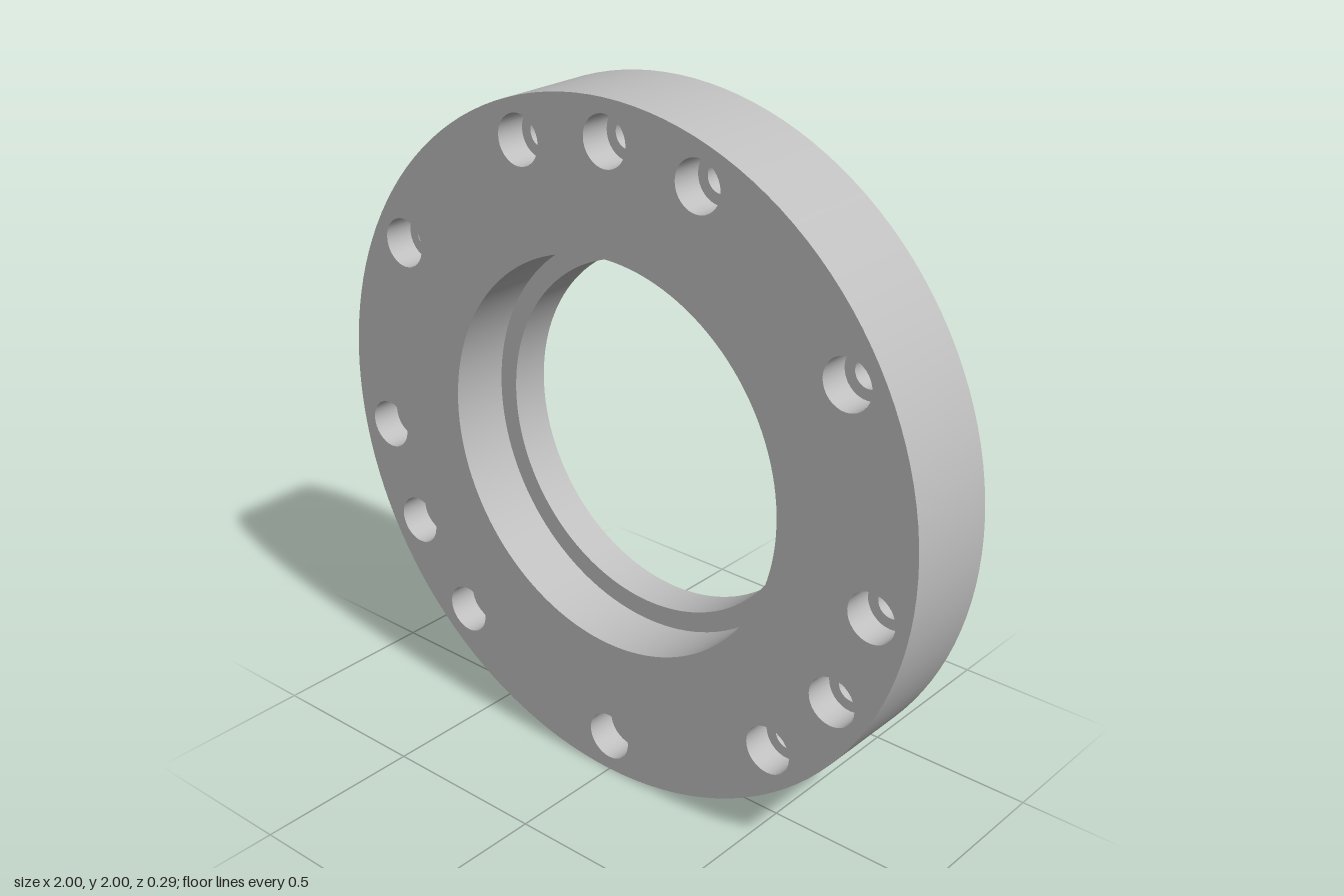
import * as THREE from 'three';
import { mergeGeometries } from 'three/addons/utils/BufferGeometryUtils.js';

const FRONT = 0.147, BACK = -0.147;
const RING_SIDES = 128, HOLE_SIDES = 32;
const BORE_FRONT = 0.575, BORE_BACK = 0.515, BORE_STEP = -0.03;
const HOLE_FRONT = 0.072, HOLE_BACK = 0.041, HOLE_STEP = 0.057;
const BOLT_CIRCLE = 0.887;
// Bolt angles in degrees; the pattern is mirrored left to right
const SIDE_ANGLES = [70, 30, -10, -30, -50];
const BOLT_ANGLES = [90, -90, ...SIDE_ANGLES, ...SIDE_ANGLES.map(a => 180 - a)];

// Revolves a [radius, z] profile around z, keeping each corner sharp
function turned(profile, sides) {
  const bands = [];
  for (let i = 0; i < profile.length - 1; i++) {
    const pts = [profile[i], profile[i + 1]].map(([r, z]) => new THREE.Vector2(r, z));
    bands.push(new THREE.LatheGeometry(pts, sides).rotateX(Math.PI / 2));
  }
  return mergeGeometries(bands);
}

function circlePoints(radius, sides, cx = 0, cy = 0) {
  return Array.from({ length: sides }, (_, i) => {
    const a = (i / sides) * Math.PI * 2;
    return new THREE.Vector2(cx + radius * Math.cos(a), cy + radius * Math.sin(a));
  });
}

export function createModel() {
  const model = new THREE.Group();
  model.name = 'boltedFlangeRing';
  const metal = new THREE.MeshStandardMaterial({ color: 0xbfbfbf });
  metal.name = 'plain grey metal';

  const flange = new THREE.Group();
  flange.name = 'flange';
  flange.position.y = 1;
  model.add(flange);

  const add = (name, geometry) => {
    const mesh = new THREE.Mesh(geometry, metal);
    mesh.name = name;
    flange.add(mesh);
    return mesh;
  };

  const bolts = BOLT_ANGLES.map(deg => {
    const a = THREE.MathUtils.degToRad(deg);
    return [BOLT_CIRCLE * Math.cos(a), BOLT_CIRCLE * Math.sin(a)];
  });

  // Flat annular face pierced by the bore and bolt holes
  const face = (boreRadius, holeRadius) => {
    const shape = new THREE.Shape(circlePoints(1, RING_SIDES));
    shape.holes.push(new THREE.Path(circlePoints(boreRadius, RING_SIDES)));
    for (const [x, y] of bolts) {
      shape.holes.push(new THREE.Path(circlePoints(holeRadius, HOLE_SIDES, x, y)));
    }
    return new THREE.ShapeGeometry(shape);
  };
  add('frontFace', face(BORE_FRONT, HOLE_FRONT).translate(0, 0, FRONT));
  add('backFace', face(BORE_BACK, HOLE_BACK).rotateY(Math.PI).translate(0, 0, BACK));

  // Outer rim and stepped central bore
  add('outerRim', turned([[1, BACK], [1, FRONT]], RING_SIDES));
  add('steppedBore', turned([
    [BORE_FRONT, FRONT], [BORE_FRONT, BORE_STEP], [BORE_BACK, BORE_STEP], [BORE_BACK, BACK],
  ], RING_SIDES));

  // Counterbored bolt holes
  const holeGeometry = turned([
    [HOLE_FRONT, FRONT], [HOLE_FRONT, HOLE_STEP], [HOLE_BACK, HOLE_STEP], [HOLE_BACK, BACK],
  ], HOLE_SIDES);
  bolts.forEach(([x, y], i) => add(`boltHole${i + 1}`, holeGeometry).position.set(x, y, 0));

  return model;
}
